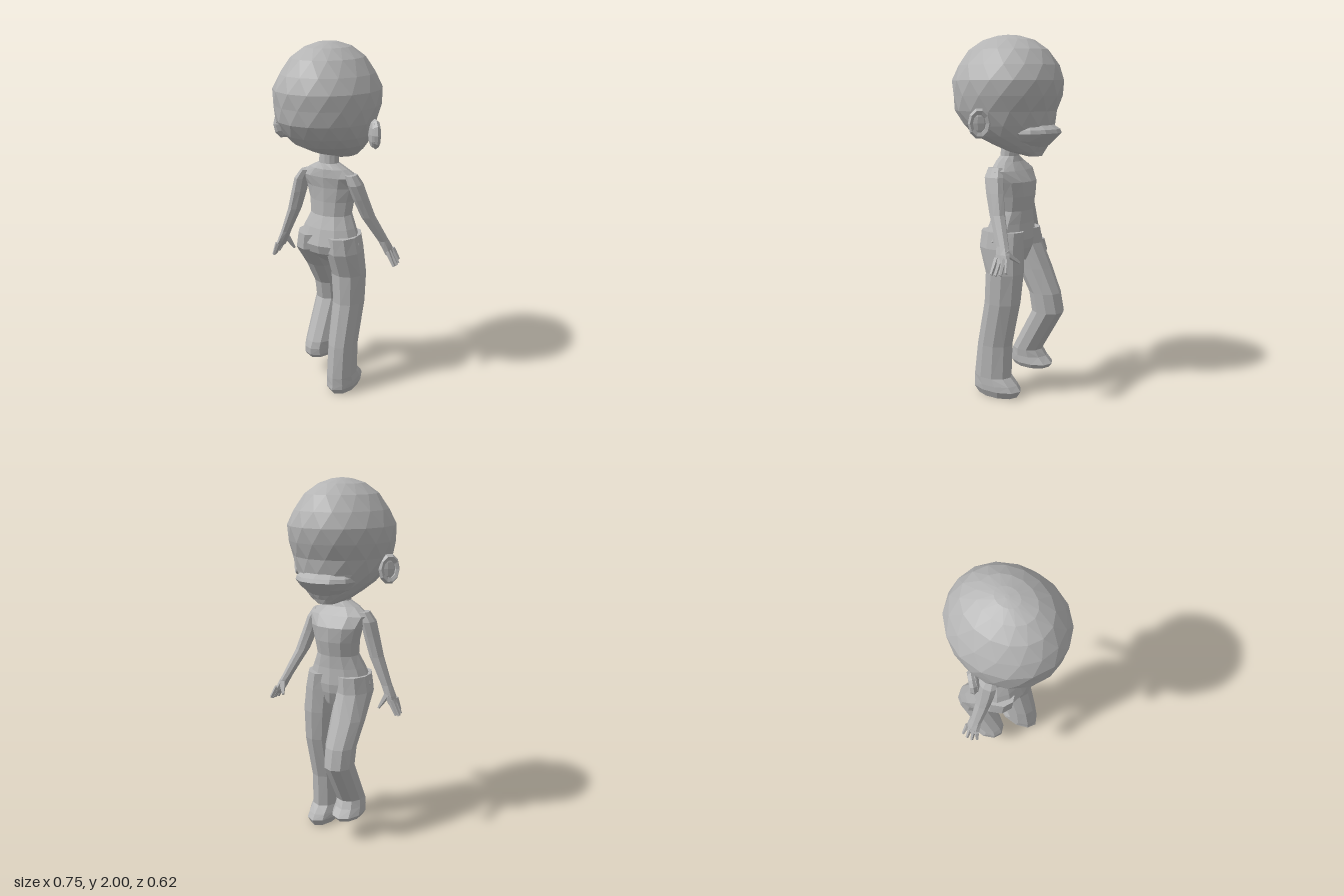
import * as THREE from 'three';

const grey = new THREE.MeshStandardMaterial({ color: 0xb4b4b4 });
grey.name = 'clay grey';

// Gives every face its own normal for the faceted look
function flat(geometry) {
  const g = geometry.index ? geometry.toNonIndexed() : geometry;
  g.computeVertexNormals();
  return g;
}

function part(name, geometry) {
  const mesh = new THREE.Mesh(flat(geometry), grey);
  mesh.name = name;
  return mesh;
}

// Closed loft through level elliptical rings, bottom to top: [y, cx, cz, rx, rz].
// With stagger, every other ring is turned by half a side.
function loft(rings, sides, stagger = false) {
  const pos = [], idx = [];
  rings.forEach(([y, cx, cz, rx, rz], i) => {
    for (let j = 0; j < sides; j++) {
      const t = ((j + (stagger && i % 2 ? 0.5 : 0)) / sides) * Math.PI * 2;
      pos.push(cx + rx * Math.sin(t), y, cz + rz * Math.cos(t));
    }
  });
  for (let i = 0; i < rings.length - 1; i++) {
    for (let j = 0; j < sides; j++) {
      const k = (j + 1) % sides;
      const a = i * sides + j, b = i * sides + k, c = b + sides, d = a + sides;
      if (i % 2) idx.push(a, b, c, a, c, d);
      else idx.push(a, b, d, b, c, d);
    }
  }
  // End caps
  const last = rings.length - 1, n = rings.length * sides;
  for (const i of [0, last]) pos.push(rings[i][1], rings[i][0], rings[i][2]);
  for (let j = 0; j < sides; j++) {
    const k = (j + 1) % sides;
    idx.push(n, k, j, n + 1, last * sides + j, last * sides + k);
  }
  const g = new THREE.BufferGeometry();
  g.setAttribute('position', new THREE.Float32BufferAttribute(pos, 3));
  g.setIndex(idx);
  return g;
}

// Tapered finger between two points
function finger(name, from, to, r0, r1) {
  const a = new THREE.Vector3(...from), b = new THREE.Vector3(...to);
  const dir = b.clone().sub(a);
  const mesh = part(name, new THREE.CylinderGeometry(r1, r0, dir.length(), 5));
  mesh.position.copy(a).addScaledVector(dir, 0.5);
  mesh.quaternion.setFromUnitVectors(new THREE.Vector3(0, 1, 0), dir.normalize());
  return mesh;
}

// Arm with palm, four fingers and a thumb
function arm(name, rings, tips, thumbRoot, thumbTip) {
  const g = new THREE.Group();
  g.name = name;
  g.add(part('sleeveAndPalm', loft(rings, 8)));
  const [y, cx, cz, , rz] = rings[0];
  tips.forEach((tip, i) => {
    const root = [cx, y + 0.02, cz + rz * (0.75 - 0.5 * i)];
    g.add(finger('finger', root, tip, 0.015, 0.009));
  });
  g.add(finger('thumb', thumbRoot, thumbTip, 0.02, 0.007));
  return g;
}

// Cupped ear turned outward; the face looks toward -z
function ear(name, side) {
  const g = new THREE.Group();
  g.name = name;
  const shell = new THREE.SphereGeometry(1, 9, 6);
  shell.scale(0.052, 0.07, 0.02);
  g.add(part('earShell', shell));
  const rim = new THREE.TorusGeometry(0.046, 0.014, 5, 10);
  rim.scale(1, 1.35, 1.3);
  rim.translate(0, 0, 0.014);
  g.add(part('earRim', rim));
  g.position.set(side * 0.272, 1.54, 0.012);
  g.rotation.y = side * Math.PI * 0.73;
  return g;
}

export function createModel() {
  const model = new THREE.Group();
  model.name = 'walkingFigure';

  // Large rounded head
  model.add(part('head', loft([
    [1.36, 0, -0.165, 0.05, 0.04],
    [1.385, 0, -0.115, 0.11, 0.1],
    [1.42, 0, -0.08, 0.155, 0.155],
    [1.47, 0, -0.03, 0.205, 0.22],
    [1.525, 0, -0.005, 0.24, 0.255],
    [1.6, 0, 0.015, 0.268, 0.285],
    [1.68, 0, 0.005, 0.284, 0.305],
    [1.76, 0, 0.002, 0.284, 0.314],
    [1.84, 0, 0, 0.245, 0.285],
    [1.92, 0, 0, 0.185, 0.228],
    [1.972, 0, 0, 0.115, 0.15],
    [1.995, 0, 0, 0.05, 0.065],
    [2, 0, 0, 0.01, 0.01],
  ], 16, true)));

  // Overhanging muzzle
  model.add(part('muzzle', loft([
    [1.41, 0, -0.15, 0.1, 0.08],
    [1.445, 0, -0.15, 0.15, 0.115],
    [1.485, 0, -0.15, 0.175, 0.155],
    [1.505, 0, -0.15, 0.17, 0.145],
    [1.53, 0, -0.14, 0.14, 0.115],
  ], 12)));
  model.add(ear('leftEar', 1), ear('rightEar', -1));

  // Neck, chest, waist and hips
  model.add(part('torso', loft([
    [0.78, 0.01, -0.05, 0.05, 0.07],
    [0.85, 0, -0.02, 0.175, 0.12],
    [0.9, 0, -0.015, 0.192, 0.13],
    [0.99, 0, -0.025, 0.155, 0.11],
    [1.06, 0, -0.04, 0.122, 0.095],
    [1.14, 0, -0.05, 0.132, 0.1],
    [1.22, 0, -0.05, 0.155, 0.1],
    [1.28, 0, -0.025, 0.18, 0.082],
    [1.325, 0, -0.01, 0.115, 0.062],
    [1.355, 0, -0.01, 0.058, 0.05],
    [1.44, 0, -0.015, 0.05, 0.048],
  ], 12)));

  // Standing leg with a flared hem and shoe
  model.add(part('standingLeg', loft([
    [0, 0.115, 0, 0.07, 0.125],
    [0.04, 0.115, 0.002, 0.087, 0.152],
    [0.07, 0.115, 0.012, 0.086, 0.138],
    [0.11, 0.113, 0.032, 0.084, 0.115],
    [0.3, 0.112, 0.018, 0.083, 0.105],
    [0.55, 0.118, -0.035, 0.09, 0.105],
    [0.72, 0.11, -0.045, 0.1, 0.108],
    [0.86, 0.1, -0.02, 0.102, 0.132],
    [0.95, 0.09, -0.02, 0.092, 0.128],
  ], 10)));

  // Lifted leg, bent at the knee
  model.add(part('liftedLeg', loft([
    [0.125, -0.105, -0.1, 0.075, 0.11],
    [0.15, -0.105, -0.1, 0.088, 0.13],
    [0.19, -0.105, -0.08, 0.083, 0.11],
    [0.23, -0.1, -0.075, 0.08, 0.09],
    [0.47, -0.1, -0.205, 0.083, 0.095],
    [0.58, -0.1, -0.185, 0.086, 0.092],
    [0.72, -0.105, -0.115, 0.097, 0.1],
    [0.86, -0.1, -0.025, 0.1, 0.132],
    [0.95, -0.09, -0.02, 0.092, 0.128],
  ], 10)));

  // Arm swung toward the facing side
  model.add(arm('forwardArm', [
    [0.83, 0.315, -0.155, 0.02, 0.045],
    [0.87, 0.298, -0.148, 0.026, 0.042],
    [0.91, 0.28, -0.135, 0.028, 0.036],
    [1.06, 0.218, -0.065, 0.038, 0.045],
    [1.17, 0.187, -0.03, 0.04, 0.053],
    [1.25, 0.165, -0.01, 0.038, 0.058],
    [1.3, 0.14, -0.005, 0.03, 0.045],
  ], [
    [0.36, 0.77, -0.115], [0.365, 0.77, -0.143], [0.362, 0.773, -0.172], [0.35, 0.785, -0.2],
  ], [0.295, 0.88, -0.165], [0.252, 0.825, -0.222]));

  // Arm hanging beside the hip
  model.add(arm('trailingArm', [
    [0.81, -0.325, -0.005, 0.02, 0.045],
    [0.85, -0.308, -0.005, 0.026, 0.042],
    [0.91, -0.282, -0.003, 0.028, 0.036],
    [1.06, -0.218, 0, 0.038, 0.045],
    [1.17, -0.187, 0, 0.04, 0.053],
    [1.25, -0.168, -0.003, 0.038, 0.058],
    [1.3, -0.14, -0.005, 0.03, 0.045],
  ], [
    [-0.345, 0.76, 0.042], [-0.362, 0.748, 0.015], [-0.368, 0.745, -0.015], [-0.365, 0.755, -0.045],
  ], [-0.3, 0.86, -0.03], [-0.263, 0.785, -0.06]));

  return model;
}
